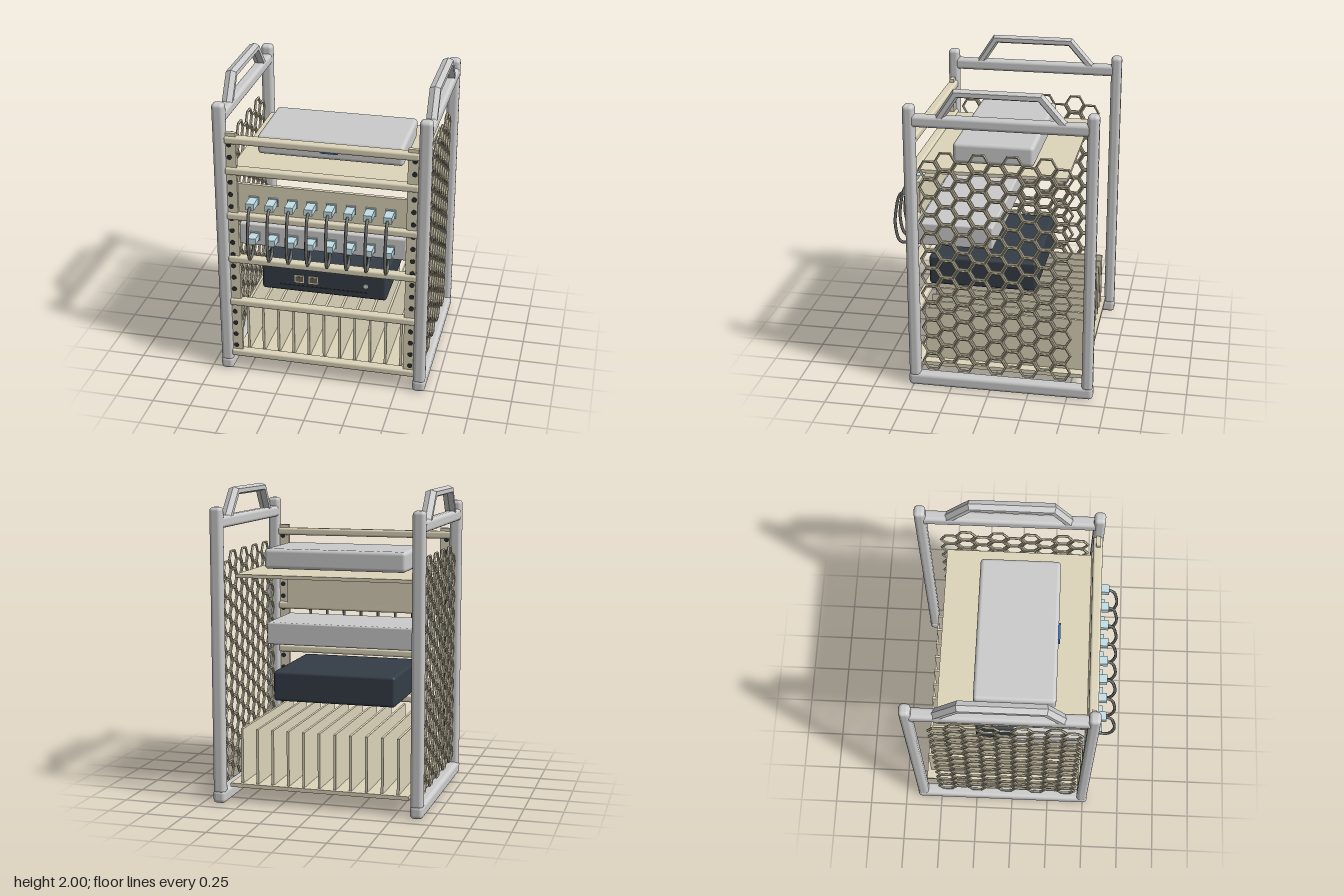
import * as THREE from 'three';
import { RoundedBoxGeometry } from 'three/addons/geometries/RoundedBoxGeometry.js';
import { mergeGeometries } from 'three/addons/utils/BufferGeometryUtils.js';

const mat = (color, extra = {}) => new THREE.MeshStandardMaterial({ color, ...extra });

export function createModel() {
  const root = new THREE.Group();
  const grey = mat(0xcccccc), greyFlat = mat(0xcccccc, { flatShading: true });
  const beige = mat(0xddd5ba), meshMat = mat(0xbfb79d, { flatShading: true });
  const dark = mat(0x343d46), black = mat(0x2b2b2b), cableMat = mat(0x6a6a68);
  const blue = mat(0x2b6fbe), plugMat = mat(0xc2dfe6), brown = mat(0x6b5f50);

  const add = (name, geo, material, parent = root) => {
    const m = new THREE.Mesh(geo, material);
    m.name = name;
    parent.add(m);
    return m;
  };
  // box given by its extents, rounded when r > 0
  const box = (name, [x0, x1], [y0, y1], [z0, z1], material, r = 0, parent = root) => {
    const size = [x1 - x0, y1 - y0, z1 - z0];
    const geo = r ? new RoundedBoxGeometry(...size, 3, r) : new THREE.BoxGeometry(...size);
    geo.translate((x0 + x1) / 2, (y0 + y1) / 2, (z0 + z1) / 2);
    return add(name, geo, material, parent);
  };

  // hexagonal bar along a polyline with mitred corners, in the yz plane
  const handleGeometry = (pts, halfX, half) => {
    const pos = [], idx = [], n = 6;
    pts.forEach((p, i) => {
      const a = pts[Math.max(i - 1, 0)], b = pts[Math.min(i + 1, pts.length - 1)];
      const d0 = p.clone().sub(a).normalize(), d1 = b.clone().sub(p).normalize();
      const t = d0.clone().add(d1).normalize();
      const end = i === 0 || i === pts.length - 1;
      // ends are cut level with the rail
      const nrm = end ? new THREE.Vector2(i ? 1 : -1, 0) : new THREE.Vector2(-t.y, t.x);
      const dir = i === 0 ? d1 : d0;
      const s = half / Math.abs(nrm.dot(new THREE.Vector2(-dir.y, dir.x)));
      if (end && nrm.dot(new THREE.Vector2(-dir.y, dir.x)) < 0) nrm.negate();
      for (let k = 0; k < n; k++) {
        const ang = (k / n) * Math.PI * 2;
        const c = Math.cos(ang) * s, q = Math.sin(ang) / 0.866 * halfX;
        pos.push(q, p.y + nrm.y * c, p.x + nrm.x * c);
      }
      if (i) for (let k = 0; k < n; k++) {
        const o = (i - 1) * n, k2 = (k + 1) % n;
        idx.push(o + k, o + k2, o + n + k, o + k2, o + n + k2, o + n + k);
      }
    });
    const g = new THREE.BufferGeometry();
    g.setAttribute('position', new THREE.Float32BufferAttribute(pos, 3));
    g.setIndex(idx);
    g.computeVertexNormals();
    return g;
  };

  // honeycomb of separate hexagonal rings
  const honeycomb = () => {
    const s = 0.069, cols = 9, rows = 12, rings = [];
    const pitch = s * Math.sqrt(3);
    for (let c = 0; c < cols; c++) for (let r = 0; r < rows; r++) {
      const g = new THREE.TorusGeometry(s - 0.008, 0.009, 5, 6);
      g.rotateY(Math.PI / 2);
      g.translate(0, 0.165 + (r + (c % 2 ? 0.5 : 0)) * pitch, 0.375 - c * s * 1.5);
      rings.push(g);
    }
    return mergeGeometries(rings);
  };
  const combGeo = honeycomb();
  const handleGeo = handleGeometry([[0.3, 1.82], [0.2, 1.973], [-0.31, 1.973], [-0.445, 1.82]]
    .map(p => new THREE.Vector2(...p)), 0.034, 0.027);

  // side frames, handles, honeycomb panels and perforated mounting strips
  for (const side of [1, -1]) {
    const frame = new THREE.Group();
    frame.name = side > 0 ? 'leftSide' : 'rightSide';
    frame.position.x = side * 0.645;
    root.add(frame);
    box('bottomRail', [-0.042, 0.042], [0, 0.085], [-0.665, 0.53], grey, 0.025, frame);
    box('frontPost', [-0.04, 0.04], [0.06, 1.89], [0.455, 0.527], grey, 0.025, frame);
    box('backPost', [-0.04, 0.04], [0.06, 1.89], [-0.663, -0.592], grey, 0.025, frame);
    box('topRail', [-0.037, 0.037], [1.755, 1.83], [-0.62, 0.48], grey, 0.022, frame);
    const handleMat = greyFlat.clone();
    handleMat.side = THREE.DoubleSide;
    add('handle', handleGeo, handleMat, frame);
    add('honeycombPanel', combGeo, meshMat, frame);

    box('mountingStrip', [side * 0.572 - 0.033, side * 0.572 + 0.033], [0.1, 1.7], [0.478, 0.505], beige);
    for (let i = 0; i < 18; i++) {
      const hole = new THREE.CylinderGeometry(0.017, 0.017, 0.03, 12).rotateX(Math.PI / 2);
      add('stripHole', hole, black).position.set(side * 0.583, 0.18 + i * 0.0848, 0.4925);
    }
  }

  // front cross rails
  for (const y of [1.653, 1.445, 1.133, 0.825, 0.51, 0.125])
    box('crossRail', [-0.615, 0.615], [y - 0.025, y + 0.025], [0.46, 0.52], beige, 0.015);

  // shelves and upright dividers
  box('basePlate', [-0.585, 0.585], [0.1, 0.125], [-0.605, 0.47], beige);
  box('topShelf', [-0.585, 0.585], [1.433, 1.455], [-0.47, 0.47], beige);
  for (let i = 0; i < 11; i++) {
    const x = -0.512 + i * 0.1024;
    box('divider', [x - 0.008, x + 0.008], [0.12, 0.48], [-0.58, 0.45], beige);
  }

  // top unit with blue badge
  box('topUnit', [-0.472, 0.472], [1.468, 1.6], [-0.245, 0.265], grey, 0.025);
  box('topUnitDisplay', [-0.057, 0.055], [1.515, 1.585], [0.255, 0.275], blue);

  // patch panel and network unit
  box('patchPanel', [-0.545, 0.545], [1.145, 1.355], [0.46, 0.485], beige);
  box('networkUnit', [-0.54, 0.54], [0.93, 1.08], [0, 0.485], grey, 0.012);

  // dark unit with ports, lamp and groove
  box('darkUnit', [-0.41, 0.41], [0.6, 0.8], [-0.255, 0.445], dark, 0.02);
  for (const x of [-0.16, -0.067]) {
    box('portFrame', [x - 0.031, x + 0.031], [0.672, 0.724], [0.43, 0.45], beige);
    box('portOpening', [x - 0.024, x + 0.024], [0.68, 0.716], [0.44, 0.453], brown);
  }
  const lamp = new THREE.CylinderGeometry(0.015, 0.015, 0.02, 16).rotateX(Math.PI / 2);
  add('lamp', lamp, grey).position.set(0.277, 0.697, 0.441);
  box('groove', [-0.29, 0.29], [0.643, 0.65], [0.43, 0.447], black);

  // plugs and patch cables
  const path = new THREE.CatmullRomCurve3([
    [0.57, 1.25], [0.615, 1.225], [0.645, 1.12], [0.653, 1.0], [0.622, 0.9],
    [0.555, 0.905], [0.535, 0.95], [0.56, 0.995],
  ].map(([z, y]) => new THREE.Vector3(0, y, z)));
  const cableGeo = new THREE.TubeGeometry(path, 32, 0.01, 6);
  for (let i = 0; i < 8; i++) {
    const x = -0.436 + i * 0.1246;
    for (const [y, z] of [[1.25, 0.59], [1.0, 0.575]]) {
      box('socket', [x - 0.032, x + 0.032], [y - 0.028, y + 0.028], [0.475, 0.495], plugMat);
      box('plug', [x - 0.027, x + 0.027], [y - 0.021, y + 0.021], [0.49, z], plugMat);
    }
    add('patchCable', cableGeo, cableMat).position.x = x;
  }
  return root;
}
